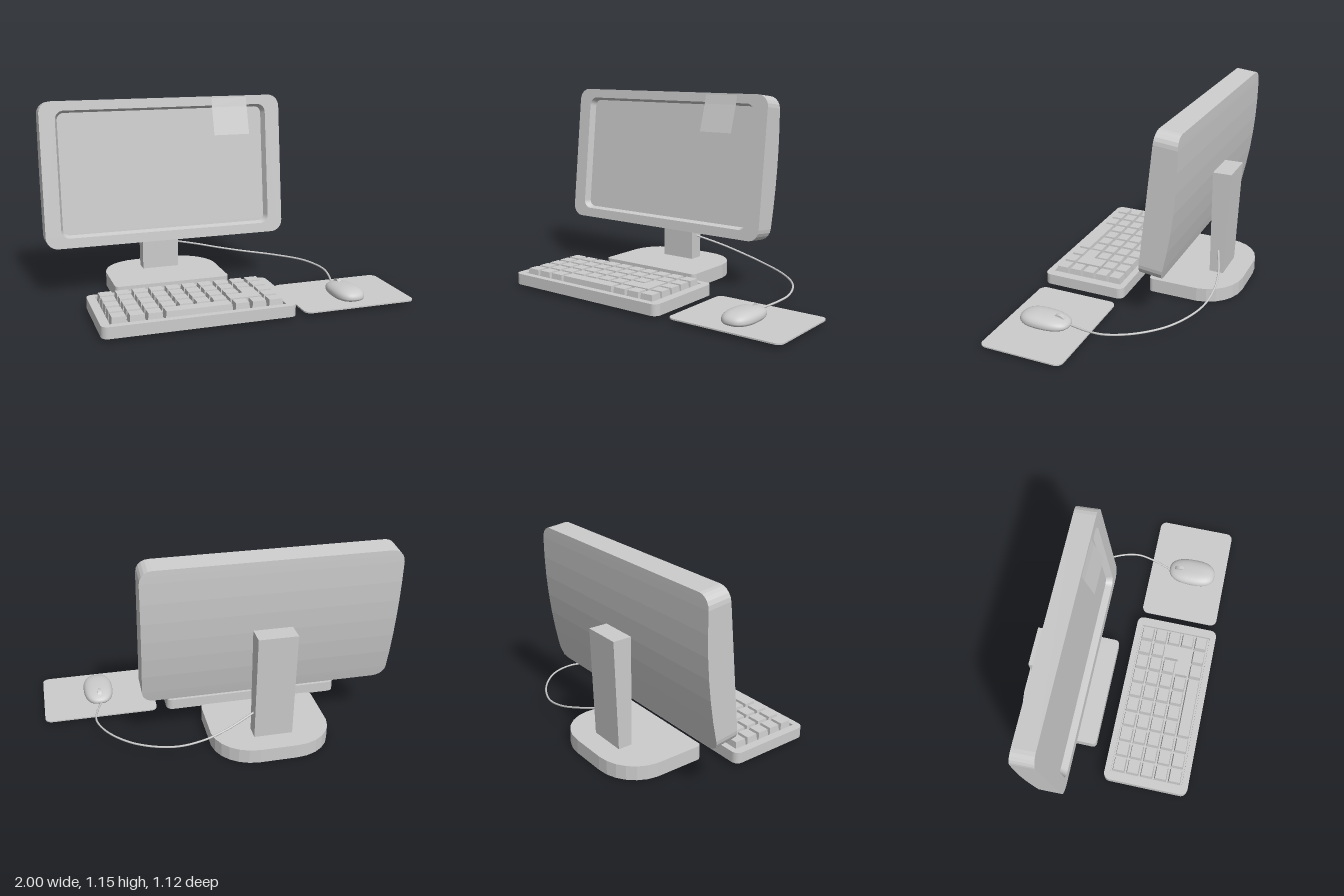
import * as THREE from 'three';

const grey = new THREE.MeshStandardMaterial({ color: 0xcccccc });
const greyThin = new THREE.MeshStandardMaterial({ color: 0xcccccc, side: THREE.DoubleSide });

function add(parent, name, geometry, material = grey) {
  const mesh = new THREE.Mesh(geometry, material);
  mesh.name = name;
  parent.add(mesh);
  return mesh;
}

// Rounded rectangle drawn counter-clockwise from its four corner arcs
function roundRect(x0, y0, x1, y1, r, Type = THREE.Shape) {
  const s = new Type();
  const corners = [[x1 - r, y0 + r, -0.5], [x1 - r, y1 - r, 0], [x0 + r, y1 - r, 0.5], [x0 + r, y0 + r, 1]];
  for (const [x, y, a] of corners) s.absarc(x, y, r, a * Math.PI, (a + 0.5) * Math.PI, false);
  s.closePath();
  return s;
}

// Plan shape (x, -z) raised from y to y + height
function slab(shape, y, height) {
  const g = new THREE.ExtrudeGeometry(shape, { depth: height, bevelEnabled: false, curveSegments: 6 });
  return g.rotateX(-Math.PI / 2).translate(0, y, 0);
}

// Flat-shaded skin between successive rows of points; optional end caps
function loft(rows, caps) {
  const n = rows[0].length, index = [];
  for (let i = 0; i < rows.length - 1; i++) {
    for (let j = 0; j < n - 1; j++) {
      const a = i * n + j, b = a + 1, d = a + n, c = d + 1;
      index.push(a, d, c, a, c, b);
    }
  }
  if (caps) {
    const t = (rows.length - 1) * n;
    for (let j = 1; j < n - 1; j++) index.push(0, j, j + 1, t, t + j + 1, t + j);
  }
  let g = new THREE.BufferGeometry();
  g.setAttribute('position', new THREE.Float32BufferAttribute(rows.flat(2), 3));
  g.setIndex(index);
  g = g.toNonIndexed();
  g.computeVertexNormals();
  return g;
}

function buildMonitor() {
  const group = new THREE.Group();
  group.name = 'monitor';
  const H = 0.845, half = 0.725, r = 0.07;

  // Casing: rows going up, with rounded corners and a bowed back
  const heights = [];
  for (let i = 0; i <= 5; i++) heights.push(r * (1 - Math.cos(i / 5 * Math.PI / 2)));
  for (let i = 1; i < 6; i++) heights.push(r + (H - 2 * r) * i / 6);
  for (let i = 5; i >= 0; i--) heights.push(H - heights[i]);
  const rows = heights.map((v) => {
    const e = Math.max(0, r - Math.min(v, H - v));
    const w = half - r + Math.sqrt(Math.max(0, r * r - e * e));
    const back = -0.128 - 0.031 * (1 - (2 * v / H - 1) ** 2);
    return [[-w, v, 0], [-w, v, back], [w, v, back], [w, v, 0]];
  });
  add(group, 'casing', loft(rows, true));

  // Bezel, sloping recess wall and screen
  const bezel = roundRect(-half, 0, half, H, r);
  const opening = roundRect(-0.635, 0.057, 0.635, 0.79, 0.05);
  const screen = roundRect(-0.62, 0.07, 0.62, 0.777, 0.04);
  bezel.holes.push(new THREE.Path(opening.getPoints(5)));
  add(group, 'bezel', new THREE.ShapeGeometry(bezel, 5));
  const ring = (s, z) => s.getPoints(5).map((p) => [p.x, p.y, z]);
  add(group, 'screenRecess', loft([ring(screen, -0.04), ring(opening, 0)]), greyThin);
  add(group, 'screen', new THREE.ShapeGeometry(screen, 5).translate(0, 0, -0.04));

  group.position.set(-0.275, 0.315, -0.14);
  group.rotation.x = -0.113;
  return group;
}

function buildStand() {
  const group = new THREE.Group();
  group.name = 'stand';
  // Base with a straight front and a rounded back
  const s = new THREE.Shape();
  s.moveTo(-0.595, 0.045);
  s.lineTo(0.04, 0.045);
  s.quadraticCurveTo(0.07, 0.045, 0.07, 0.075);
  s.lineTo(0.07, 0.35);
  s.bezierCurveTo(0.06, 0.47, -0.04, 0.563, -0.17, 0.563);
  s.lineTo(-0.385, 0.563);
  s.bezierCurveTo(-0.515, 0.563, -0.615, 0.47, -0.625, 0.35);
  s.lineTo(-0.625, 0.075);
  s.quadraticCurveTo(-0.625, 0.045, -0.595, 0.045);
  add(group, 'base', slab(s, 0, 0.085));

  // Neck, thinner toward the bottom
  const g = new THREE.BoxGeometry(0.225, 0.65, 0.112).translate(-0.278, 0.405, -0.406);
  const p = g.attributes.position;
  for (let i = 0; i < p.count; i++) {
    if (p.getY(i) < 0.4 && p.getZ(i) < -0.4) p.setZ(i, -0.435);
  }
  g.computeVertexNormals();
  add(group, 'neck', g);
  return group;
}

function buildKeyboard() {
  const group = new THREE.Group();
  group.name = 'keyboard';
  const outline = () => roundRect(-0.815, -0.56, 0.262, -0.042, 0.04);
  add(group, 'keyboardBase', slab(outline(), 0.02, 0.045));
  const frame = outline();
  frame.holes.push(roundRect(-0.768, -0.521, 0.208, -0.079, 0.004, THREE.Path));
  add(group, 'keyboardFrame', slab(frame, 0.065, 0.02));

  const px = 0.0965, pz = 0.0865, kw = 0.085, kd = 0.076;
  const colX = (c) => -0.757 + c * px, rowZ = (r) => 0.088 + r * pz;
  function key(row, col, span = 1) {
    const w = kw + (span - 1) * px;
    const g = new THREE.BoxGeometry(w, 0.048, kd);
    const p = g.attributes.position;
    for (let i = 0; i < p.count; i++) {
      if (p.getY(i) < 0) continue;
      p.setX(i, p.getX(i) - Math.sign(p.getX(i)) * 0.005);
      p.setZ(i, p.getZ(i) - Math.sign(p.getZ(i)) * 0.005);
    }
    g.computeVertexNormals();
    add(group, span > 1 ? 'spaceBar' : 'key', g)
      .position.set(colX(col) + w / 2, 0.089, rowZ(row) + kd / 2);
  }
  // Columns taken by the enter key and space bar are skipped
  const skipped = [[], [], [8], [7, 8], [3, 4, 5, 6]];
  skipped.forEach((skip, row) => {
    for (let col = 0; col < 10; col++) if (!skip.includes(col)) key(row, col);
  });
  key(4, 3, 4);

  // L-shaped enter key
  const xa = colX(7), xb = colX(8), xc = xb + kw;
  const za = -rowZ(2), zb = -rowZ(3), zc = zb - kd;
  const pts = [[xa, zc], [xc, zc], [xc, za], [xb, za], [xb, zb], [xa, zb]];
  add(group, 'enterKey', slab(new THREE.Shape(pts.map((q) => new THREE.Vector2(...q))), 0.065, 0.048));
  return group;
}

function buildMouse() {
  const group = new THREE.Group();
  group.name = 'mouse';
  // Smooth squarish dome, flat below and lower at the cable end
  const g = new THREE.SphereGeometry(1, 40, 28);
  const p = g.attributes.position;
  const bulge = (t, e) => Math.sign(t) * Math.abs(t) ** e;
  for (let i = 0; i < p.count; i++) {
    const x = p.getX(i), y = p.getY(i), z = p.getZ(i);
    const zz = bulge(z, 0.8);
    const top = 0.048 * bulge(y, 0.85) * (1 + 0.14 * zz);
    p.setXYZ(i, 0.09 * bulge(x, 0.8) * (1 + 0.03 * zz), y > 0 ? top : Math.max(y * 0.035, -0.015), 0.152 * zz);
  }
  g.computeVertexNormals();
  add(group, 'mouseBody', g).position.set(0.66, 0.043, 0.325);
  const wheel = new THREE.CylinderGeometry(0.039, 0.039, 0.022, 24).rotateZ(Math.PI / 2);
  add(group, 'scrollWheel', wheel).position.set(0.657, 0.056, 0.242);

  // Cable from the stand to the mouse
  const path = [
    [-0.17, 0.232, -0.4], [0, 0.18, -0.46], [0.14, 0.14, -0.48], [0.3, 0.107, -0.462], [0.5, 0.087, -0.365],
    [0.64, 0.08, -0.22], [0.7, 0.067, -0.06], [0.69, 0.055, 0.05], [0.65, 0.04, 0.185],
  ].map((q) => new THREE.Vector3(...q));
  add(group, 'mouseCable', new THREE.TubeGeometry(new THREE.CatmullRomCurve3(path), 64, 0.006, 8));
  return group;
}

export function createModel() {
  const model = new THREE.Group();
  model.name = 'desktopComputer';
  model.add(buildMonitor(), buildStand(), buildKeyboard(), buildMouse());
  add(model, 'mousePad', slab(roundRect(0.32, -0.545, 1, -0.052, 0.04), 0.02, 0.008));

  // Paper note hanging from the top of the bezel
  const note = [[1.145, -0.232], [1.09, -0.219], [0.928, -0.17]].map(([y, z]) => [[0.24, y, z], [0.02, y, z]]);
  add(model, 'stickyNote', loft(note), greyThin);
  return model;
}
